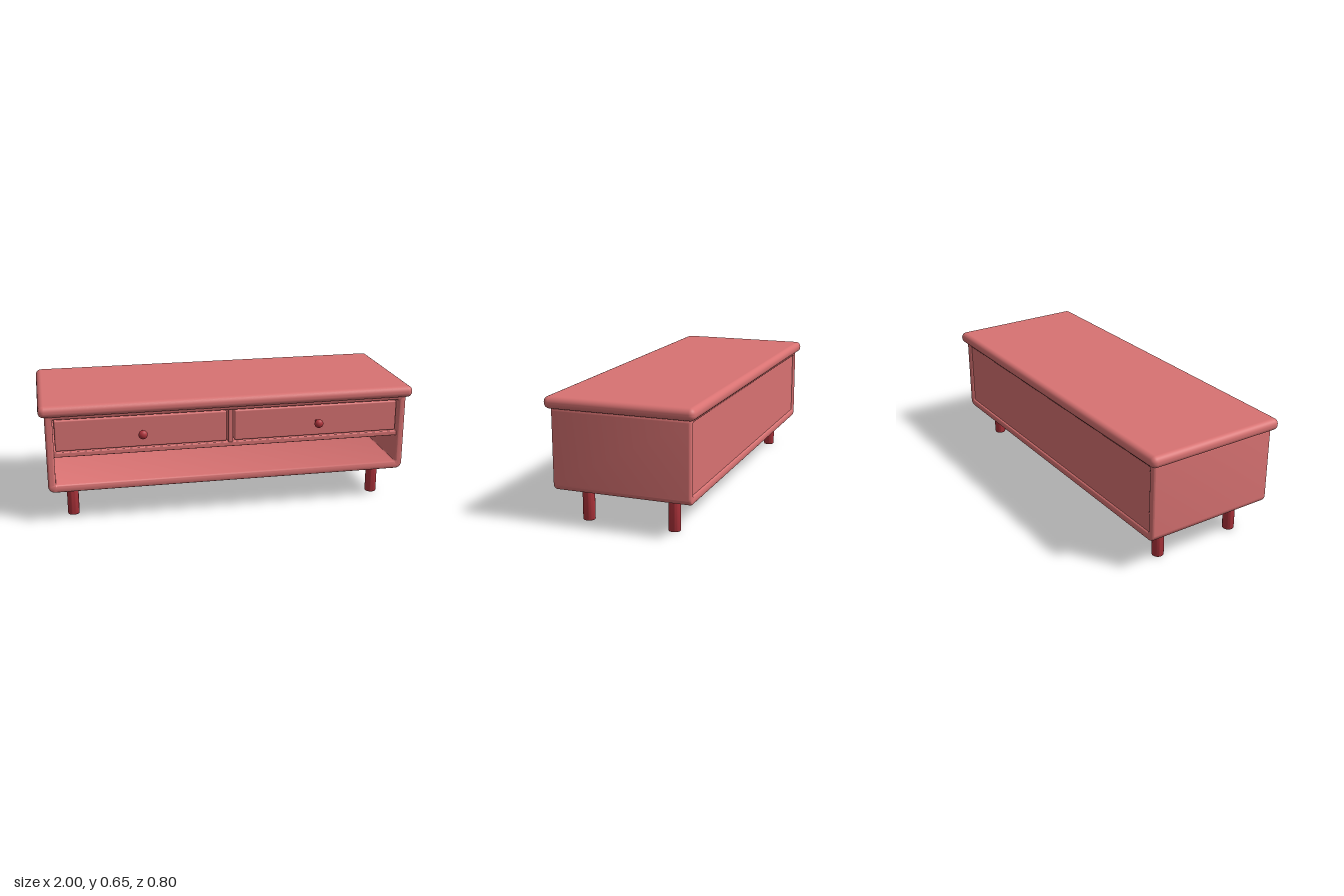
import * as THREE from 'three';
import { toCreasedNormals } from 'three/addons/utils/BufferGeometryUtils.js';
import { RoundedBoxGeometry } from 'three/addons/geometries/RoundedBoxGeometry.js';

function roundedRect(path, x0, y0, x1, y1, r) {
  path.absarc(x1 - r, y0 + r, r, -Math.PI / 2, 0);
  path.absarc(x1 - r, y1 - r, r, 0, Math.PI / 2);
  path.absarc(x0 + r, y1 - r, r, Math.PI / 2, Math.PI);
  path.absarc(x0 + r, y0 + r, r, Math.PI, Math.PI * 1.5);
  path.closePath();
  return path;
}

export function createModel() {
  const model = new THREE.Group();
  model.name = 'coffeeTable';

  const paint = new THREE.MeshStandardMaterial({ color: 0xd87272 });
  paint.name = 'coral paint';
  const trim = new THREE.MeshStandardMaterial({ color: 0xb0343c });
  trim.name = 'dark red trim';

  const add = (name, geometry, material, x = 0, y = 0, z = 0, parent = model) => {
    const mesh = new THREE.Mesh(geometry, material);
    mesh.name = name;
    mesh.position.set(x, y, z);
    parent.add(mesh);
    return mesh;
  };
  // Softened box given by its limits
  const block = (name, x0, x1, y0, y1, z0, z1, r, parent = model) =>
    add(name, new RoundedBoxGeometry(x1 - x0, y1 - y0, z1 - z0, 4, r), paint,
      (x0 + x1) / 2, (y0 + y1) / 2, (z0 + z1) / 2, parent);

  // Thick rounded top slab
  block('tableTop', -1, 1, 0.59, 0.652, -0.398, 0.378, 0.029);

  // Cabinet tube, open at front and back, with softened rims
  const bevel = 0.012, front = 0.35, back = -0.37;
  const outline = roundedRect(new THREE.Shape(), -0.97, 0.175, 0.97, 0.612, 0.035);
  outline.holes.push(roundedRect(new THREE.Path(), -0.93, 0.217, 0.93, 0.572, 0.008));
  const shell = new THREE.ExtrudeGeometry(outline, {
    depth: front - back - 2 * bevel, bevelEnabled: true, bevelThickness: bevel,
    bevelSize: bevel, bevelOffset: -bevel, bevelSegments: 4, curveSegments: 8,
  });
  add('cabinetShell', toCreasedNormals(shell, 0.6), paint, 0, 0, back + bevel);

  // Inner boards
  block('backPanel', -0.935, 0.935, 0.21, 0.58, -0.36, -0.335, 0.004);
  block('shelf', -0.935, 0.935, 0.366, 0.393, -0.34, 0.338, 0.006);
  block('drawerDivider', -0.013, 0.013, 0.388, 0.576, -0.34, 0.338, 0.006);

  // Knob: short stem with a flattened ball
  const stem = new THREE.CylinderGeometry(0.01, 0.01, 0.05, 20).rotateX(Math.PI / 2);
  const ball = new THREE.SphereGeometry(0.024, 24, 16).scale(1, 1, 0.79);

  // Leg with a softened foot
  const leg = toCreasedNormals(new THREE.LatheGeometry([
    [0, 0], [0.026, 0], [0.0295, 0.0015], [0.031, 0.006], [0.031, 0.185], [0, 0.185],
  ].map(([x, y]) => new THREE.Vector2(x, y)), 28), 0.9);

  for (const side of [-1, 1]) {
    const label = side > 0 ? 'left' : 'right';
    const drawer = new THREE.Group();
    drawer.name = label + 'Drawer';
    model.add(drawer);
    const cx = side * 0.472;
    block('drawerBox', cx - 0.451, cx + 0.451, 0.398, 0.565, -0.32, 0.335, 0.008, drawer);
    add('knobStem', stem, trim, cx, 0.477, 0.35, drawer);
    add('knobBall', ball, trim, cx, 0.477, 0.379, drawer);

    for (const [end, z] of [['Front', 0.22], ['Back', -0.24]]) {
      add(label + end + 'Leg', leg, trim, side * 0.842, 0, z);
    }
  }
  return model;
}
